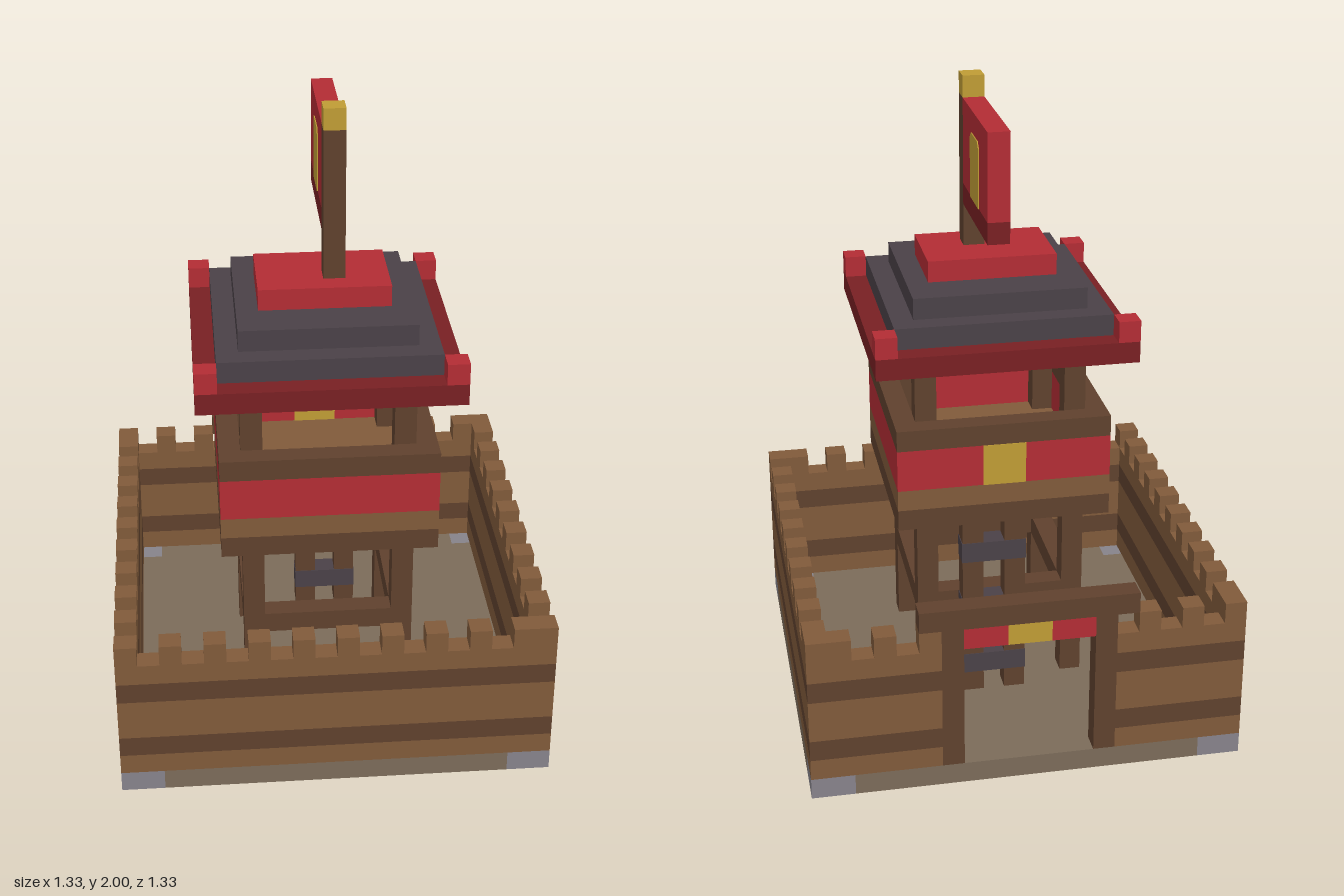
import * as THREE from 'three';

const U = 1 / 15; // one building block

function mat(name, color) {
  const m = new THREE.MeshStandardMaterial({ color });
  m.name = name;
  return m;
}

export function createModel() {
  const wood = mat('wood', 0x805a3a);
  const darkWood = mat('darkWood', 0x5f412d);
  const earth = mat('earth', 0x7b6b59);
  const stone = mat('stone', 0x86828a);
  const slate = mat('slate', 0x4a4147);
  const red = mat('red', 0xb22c34);
  const darkRed = mat('darkRed', 0x782023);
  const gold = mat('gold', 0xbf9c35);

  const model = new THREE.Group();
  model.name = 'watchtowerFort';
  const group = (name) => {
    const g = new THREE.Group();
    g.name = name;
    model.add(g);
    return g;
  };

  // Box given by its min and max corners, in blocks
  function box(parent, name, m, x0, x1, y0, y1, z0, z1) {
    const geo = new THREE.BoxGeometry((x1 - x0) * U, (y1 - y0) * U, (z1 - z0) * U);
    const mesh = new THREE.Mesh(geo, m);
    mesh.position.set((x0 + x1) / 2 * U, (y0 + y1) / 2 * U, (z0 + z1) / 2 * U);
    mesh.name = name;
    parent.add(mesh);
    return mesh;
  }

  // Square ring of walls one block thick
  function ring(parent, name, m, x0, x1, y0, y1, z0, z1) {
    box(parent, name, m, x0, x1, y0, y1, z1 - 1, z1);
    box(parent, name, m, x0, x1, y0, y1, z0, z0 + 1);
    box(parent, name, m, x0, x0 + 1, y0, y1, z0 + 1, z1 - 1);
    box(parent, name, m, x1 - 1, x1, y0, y1, z0 + 1, z1 - 1);
  }

  // Ground slab with stone corners
  const base = group('base');
  box(base, 'ground', earth, -8, 8, 0, 1, -10, 10);
  for (const x of [-10, 8]) {
    box(base, 'groundSide', earth, x, x + 2, 0, 1, -8, 8);
    for (const z of [-10, 8]) box(base, 'cornerStone', stone, x, x + 2, 0, 1, z, z + 2);
  }

  // Banded outer walls, open at the back for the gate
  const walls = group('walls');
  const bands = [[1, 2, wood], [2, 3, darkWood], [3, 5, wood], [5, 6, darkWood], [6, 7, wood]];
  for (const [y0, y1, m] of bands) {
    box(walls, 'frontWall', m, -10, 10, y0, y1, 9, 10);
    box(walls, 'rightWall', m, -10, -9, y0, y1, -9, 9);
    box(walls, 'leftWall', m, 9, 10, y0, y1, -9, 9);
    box(walls, 'backWall', m, -10, -4, y0, y1, -10, -9);
    box(walls, 'backWall', m, 4, 10, y0, y1, -10, -9);
  }

  // Battlements
  for (const x of [-10, -8, -6, -4, -2, 0, 2, 4, 6, 8, 9]) {
    box(walls, 'merlon', wood, x, x + 1, 7, 8, 9, 10);
    if (x < -4 || x > 3) box(walls, 'merlon', wood, x, x + 1, 7, 8, -10, -9);
  }
  for (let z = -9; z <= 7; z += 2) {
    for (const x of [-10, 9]) box(walls, 'merlon', wood, x, x + 1, 7, 8, z, z + 1);
  }

  // Gate
  const gate = group('gate');
  for (const x of [-4, 3]) box(gate, 'gatePost', darkWood, x, x + 1, 1, 8, -10, -9);
  box(gate, 'lintel', darkWood, -5, 5, 8, 9, -10, -9);
  box(gate, 'gateBanner', red, -3, -1, 7, 8, -10, -9);
  box(gate, 'gateBanner', red, 1, 3, 7, 8, -10, -9);
  box(gate, 'gateCrest', gold, -1, 1, 7, 8, -10, -9);

  // Tower legs and cross beams
  const tower = group('tower');
  for (const x of [-4, 3]) {
    for (const z of [-3, 4]) box(tower, 'leg', darkWood, x, x + 1, 1, 18, z, z + 1);
    box(tower, 'sideBeam', darkWood, x, x + 1, 5, 6, -2, 4);
  }
  for (const z of [-3, 4]) box(tower, 'crossBeam', darkWood, -3, 3, 5, 6, z, z + 1);

  // Ladder
  const ladder = group('ladder');
  for (const x of [-1, 1]) box(ladder, 'rail', darkWood, x, x + 1, 1, 10, -4, -3);
  for (const y of [2, 5, 8]) box(ladder, 'rung', slate, -1.03, 2.03, y, y + 1, -4.03, -2.97);

  // Lookout deck and parapet
  const deck = group('deck');
  box(deck, 'deckFrame', darkWood, -5, 5, 10, 11, -4, 6);
  box(deck, 'deckFloor', wood, -5, 5, 11, 12, -4, 6);
  ring(deck, 'parapet', red, -5, 5, 12, 14, -4, 6);
  ring(deck, 'handrail', darkWood, -5, 5, 14, 15, -4, 6);
  box(deck, 'deckCrest', gold, -1, 1, 12, 14, -4.04, -2.96);

  // Stepped roof
  const roof = group('roof');
  box(roof, 'eave', darkRed, -6, 6, 18, 19, -5, 7);
  box(roof, 'lowerRoof', slate, -5, 5, 19, 20, -4, 6);
  box(roof, 'upperRoof', slate, -4, 4, 20, 21, -3, 5);
  box(roof, 'roofCap', red, -3, 3, 21, 22, -1, 3);
  for (const x of [-6, 5]) {
    for (const z of [-5, 6]) box(roof, 'roofCorner', red, x, x + 1, 19, 20, z, z + 1);
  }

  // Flagpole and flag
  const flag = group('flag');
  box(flag, 'pole', darkWood, 0, 1, 22, 29, 1, 2);
  box(flag, 'finial', gold, 0, 1, 29, 30, 1, 2);
  box(flag, 'cloth', red, 0, 1, 25, 29, -5, 1);
  box(flag, 'hem', darkRed, 0, 1, 24, 25, -5, 1);

  // Arched emblem on both faces of the flag
  const arch = new THREE.Shape([[-1, 0], [1, 0], [1, 2.75], [0.75, 3], [-0.75, 3], [-1, 2.75]]
    .map(([a, b]) => new THREE.Vector2(a * U, b * U)));
  const archGeo = new THREE.ExtrudeGeometry(arch, { depth: 0.003, bevelEnabled: false });
  for (const side of [-1, 1]) {
    const emblem = new THREE.Mesh(archGeo, gold);
    emblem.name = 'emblem';
    emblem.rotation.y = side * Math.PI / 2;
    emblem.position.set(side > 0 ? U : 0, 25 * U, -2 * U);
    flag.add(emblem);
  }

  return model;
}
